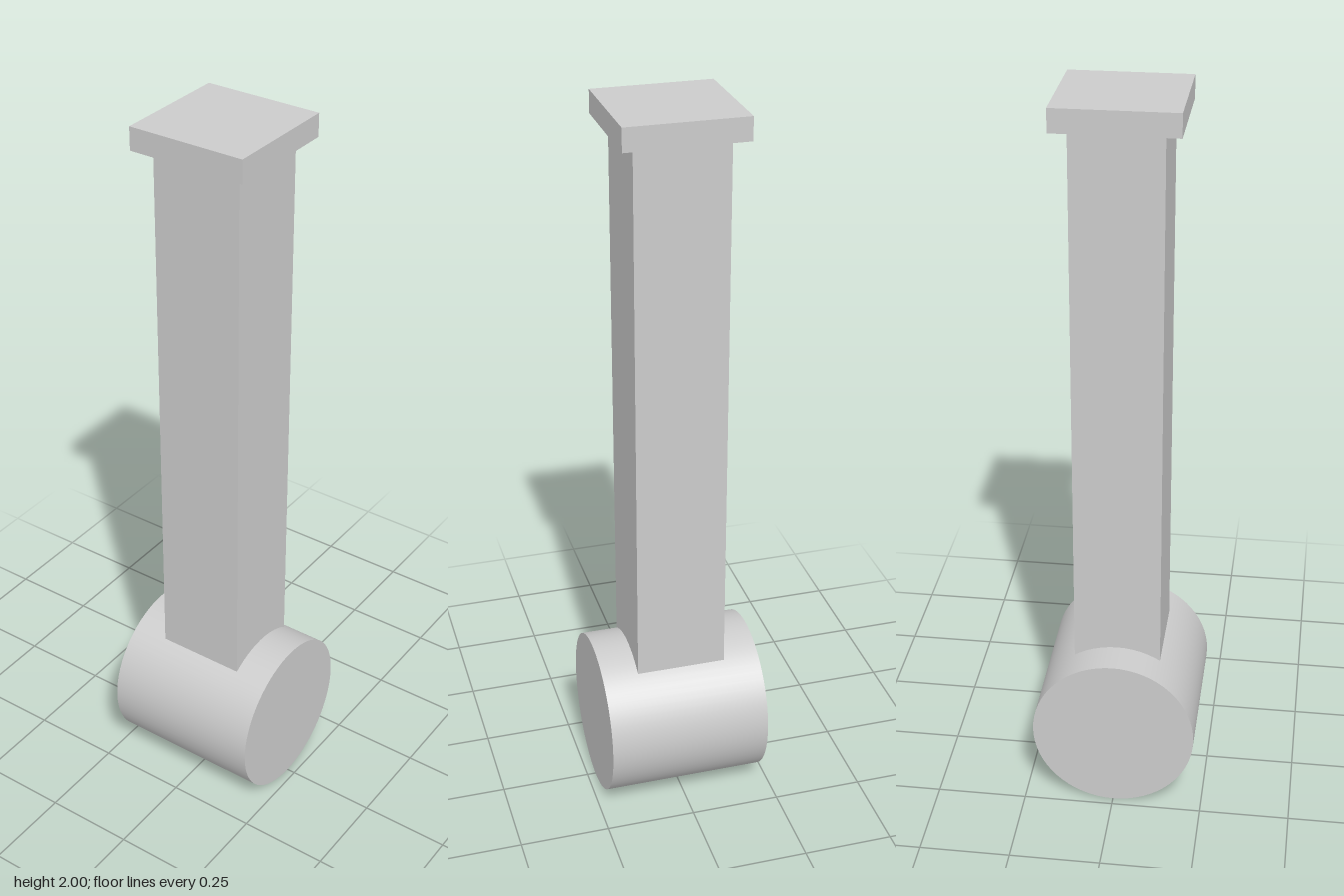
import * as THREE from 'three';

export function createModel() {
  const group = new THREE.Group();
  const material = new THREE.MeshStandardMaterial({ color: 0xcccccc });

  const add = (name, geometry, y) => {
    const mesh = new THREE.Mesh(geometry, material);
    mesh.name = name;
    mesh.position.y = y;
    group.add(mesh);
  };

  // Round head lying along z
  const radius = 0.226;
  add('head', new THREE.CylinderGeometry(radius, radius, 0.452, 64).rotateX(Math.PI / 2), radius);

  // Square shaft, sunk slightly into the head
  const bottom = 0.4, capBottom = 1.938;
  add('shaft', new THREE.BoxGeometry(0.24, capBottom - bottom, 0.25), (bottom + capBottom) / 2);

  // Square end cap
  add('endCap', new THREE.BoxGeometry(0.324, 2 - capBottom, 0.324), (2 + capBottom) / 2);

  return group;
}
